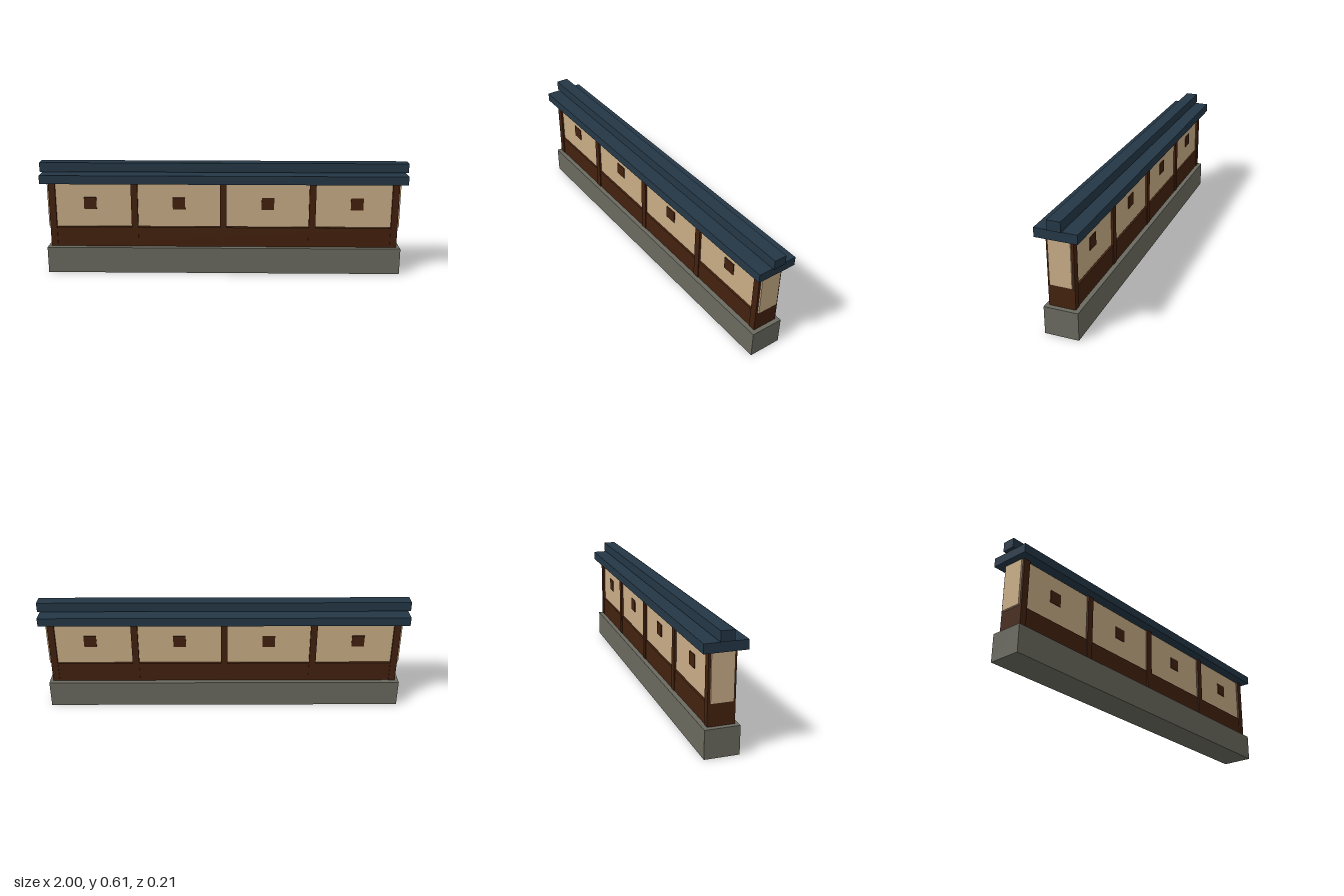
import * as THREE from 'three';

export function createModel() {
  const model = new THREE.Group();
  model.name = 'wall';

  const material = (name, color) => {
    const m = new THREE.MeshStandardMaterial({ color });
    m.name = name;
    return m;
  };
  const stone = material('stone', 0x69695f);
  const wood = material('darkWood', 0x43210e);
  const plaster = material('plaster', 0xc8ac86);
  const tile = material('roofTile', 0x243746);

  // Box centred on z = 0, spanning y0 to y1
  const block = (name, mat, x, width, y0, y1, depth) => {
    const mesh = new THREE.Mesh(new THREE.BoxGeometry(width, y1 - y0, depth), mat);
    mesh.name = name;
    mesh.position.set(x, (y0 + y1) / 2, 0);
    model.add(mesh);
    return mesh;
  };

  // Footing and lower boarding
  block('stoneBase', stone, 0, 1.942, 0, 0.145, 0.174);
  block('lowerBoarding', wood, 0, 1.9, 0.147, 0.256, 0.126);

  // Posts, with the end ones pulled inside the footing
  const bay = 0.485;
  for (const x of [-0.933, -bay, 0, bay, 0.933]) {
    block('post', wood, x, 0.036, 0.149, 0.506, 0.135);
  }

  // Plaster bays with a small square window on each face
  for (let i = 0; i < 4; i++) {
    const x = (i - 1.5) * bay;
    block('plasterPanel', plaster, x, bay - 0.02, 0.26, 0.505, 0.112);
    for (const side of [1, -1]) {
      const pane = block('window', wood, x, 0.068, 0.358, 0.424, 0.006);
      pane.position.z = side * 0.057;
    }
  }

  // Tiled eaves and ridge
  block('eaves', tile, 0, 1.976, 0.509, 0.556, 0.213);
  block('ridge', tile, 0, 2, 0.56, 0.611, 0.067);

  return model;
}
